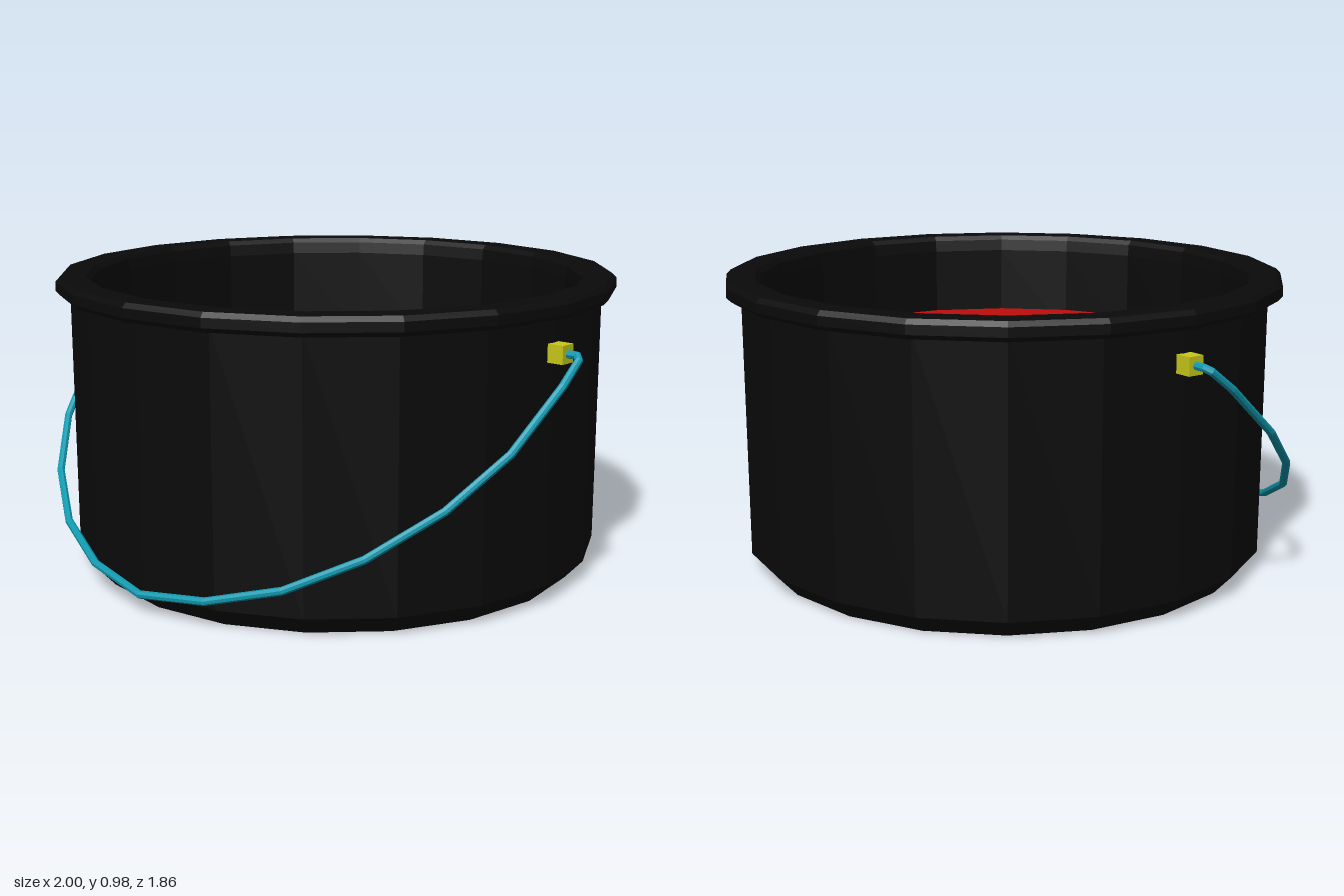
import * as THREE from 'three';

const SIDES = 20;

function paint(color, side = THREE.FrontSide) {
  return new THREE.MeshStandardMaterial({ color, side, flatShading: true });
}

function part(name, geometry, material) {
  const mesh = new THREE.Mesh(geometry, material);
  mesh.name = name;
  return mesh;
}

function lathe(profile) {
  return new THREE.LatheGeometry(profile.map(([r, y]) => new THREE.Vector2(r, y)), SIDES);
}

export function createModel() {
  const group = new THREE.Group();
  group.name = 'bucket';
  const black = paint(0x0a0a0a, THREE.DoubleSide);
  const yellow = paint(0xc8c81a);
  const teal = paint(0x109ab0);

  // Bucket wall with a chamfered foot, open at the top
  group.add(part('bucketBody', lathe([
    [0, 0], [0.825, 0], [0.885, 0.065], [0.885, 0.93],
  ]), black));

  // Rolled rim, continuing down as the inner wall
  group.add(part('rim', lathe([
    [0.88, 0.915], [0.918, 0.915], [0.932, 0.93], [0.932, 0.96], [0.918, 0.975],
    [0.835, 0.975], [0.82, 0.96], [0.815, 0.92], [0.815, 0.6],
  ]), black));

  // Red contents, filled to below the rim
  const contents = part('contents',
    new THREE.CylinderGeometry(0.815, 0.815, 0.67, SIDES), paint(0xc00d0d));
  contents.position.y = 0.355;
  group.add(contents);

  // Handle mounts on both sides
  for (const side of [-1, 1]) {
    const mount = part(side > 0 ? 'leftMount' : 'rightMount',
      new THREE.BoxGeometry(0.055, 0.058, 0.055), yellow);
    mount.position.set(side * 0.908, 0.81, 0);
    group.add(mount);
  }

  // Wire handle, hanging forward: half of its path, then mirrored
  const half = [
    [0.91, 0.81, 0], [0.968, 0.81, 0], [0.984, 0.8, 0.015], [0.987, 0.735, 0.1],
    [0.955, 0.565, 0.305], [0.86, 0.415, 0.485], [0.7, 0.275, 0.65],
    [0.495, 0.165, 0.78], [0.255, 0.095, 0.865],
  ];
  const left = half.map(([x, y, z]) => new THREE.Vector3(x, y, z));
  const right = half.map(([x, y, z]) => new THREE.Vector3(-x, y, z)).reverse();
  const path = new THREE.CatmullRomCurve3([...left, new THREE.Vector3(0, 0.063, 0.9), ...right]);
  // One straight segment between neighbouring points
  path.getPointAt = path.getPoint;
  path.getTangentAt = path.getTangent;
  group.add(part('handle',
    new THREE.TubeGeometry(path, path.points.length - 1, 0.013, 8), teal));

  return group;
}
